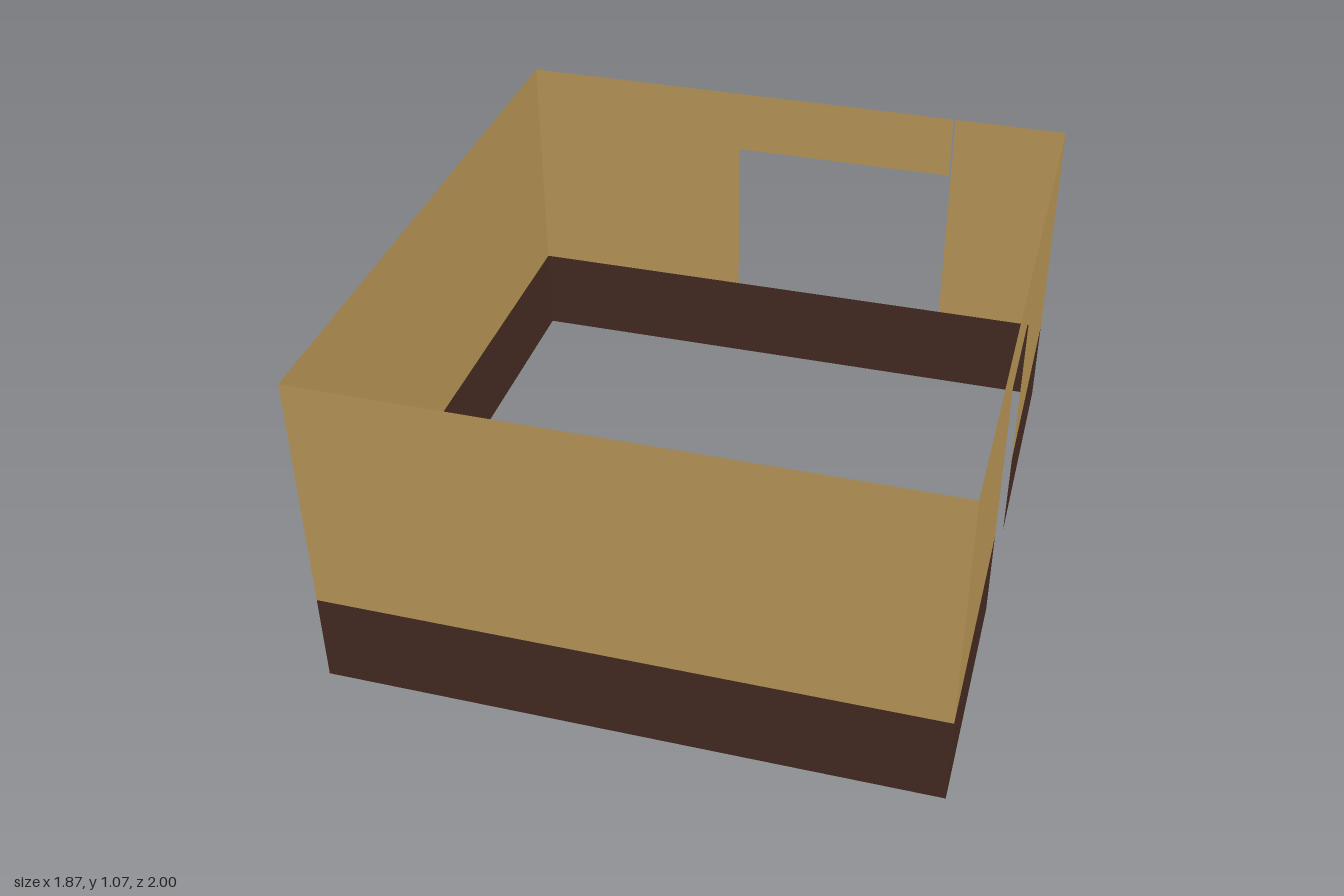
import * as THREE from 'three';

const HX = 0.933, HZ = 1;              // half width and half depth of the room
const DADO = 0.296, LINTEL = 0.853, TOP = 1.067;

export function createModel() {
  const room = new THREE.Group();
  room.name = 'room';
  const plaster = new THREE.MeshStandardMaterial({ color: 0xba9757, side: THREE.DoubleSide });
  plaster.name = 'tan plaster';
  const wood = new THREE.MeshStandardMaterial({ color: 0x452b22, side: THREE.DoubleSide });
  wood.name = 'dark brown dado';

  // A wall is a group facing outwards, holding thin upright panels.
  const makeWall = (name, x, z, turn) => {
    const wall = new THREE.Group();
    wall.name = name;
    wall.position.set(x, 0, z);
    wall.rotation.y = turn;
    room.add(wall);
    return wall;
  };
  const panel = (wall, name, material, u0, u1, y0, y1) => {
    const mesh = new THREE.Mesh(new THREE.PlaneGeometry(u1 - u0, y1 - y0), material);
    mesh.position.set((u0 + u1) / 2, (y0 + y1) / 2, 0);
    mesh.name = name;
    wall.add(mesh);
  };

  // Plain front and left walls
  const front = makeWall('frontWall', 0, HZ, 0);
  panel(front, 'frontDado', wood, -HX, HX, 0, DADO);
  panel(front, 'frontPlaster', plaster, -HX, HX, DADO, TOP);

  const side = makeWall('plainSideWall', -HX, 0, -Math.PI / 2);
  panel(side, 'sideDado', wood, -HZ, HZ, 0, DADO);
  panel(side, 'sidePlaster', plaster, -HZ, HZ, DADO, TOP);

  // Side wall with a central doorway
  const door = makeWall('doorWall', HX, 0, Math.PI / 2);
  for (const [u0, u1] of [[-HZ, -0.2], [0.2, HZ]]) {
    panel(door, 'doorSideDado', wood, u0, u1, 0, DADO);
    panel(door, 'doorSidePlaster', plaster, u0, u1, DADO, TOP);
  }
  panel(door, 'doorLintel', plaster, -0.2, 0.2, LINTEL, TOP);

  // Back wall with an off-centre window resting on the dado,
  // and a hairline joint beside the lintel
  const back = makeWall('windowWall', 0, -HZ, Math.PI);
  panel(back, 'backDado', wood, -HX, HX, 0, DADO);
  panel(back, 'windowNarrowSide', plaster, -HX, -0.565, DADO, TOP);
  panel(back, 'windowWideSide', plaster, 0.185, HX, DADO, TOP);
  panel(back, 'windowLintel', plaster, -0.558, 0.185, LINTEL, TOP);

  return room;
}
